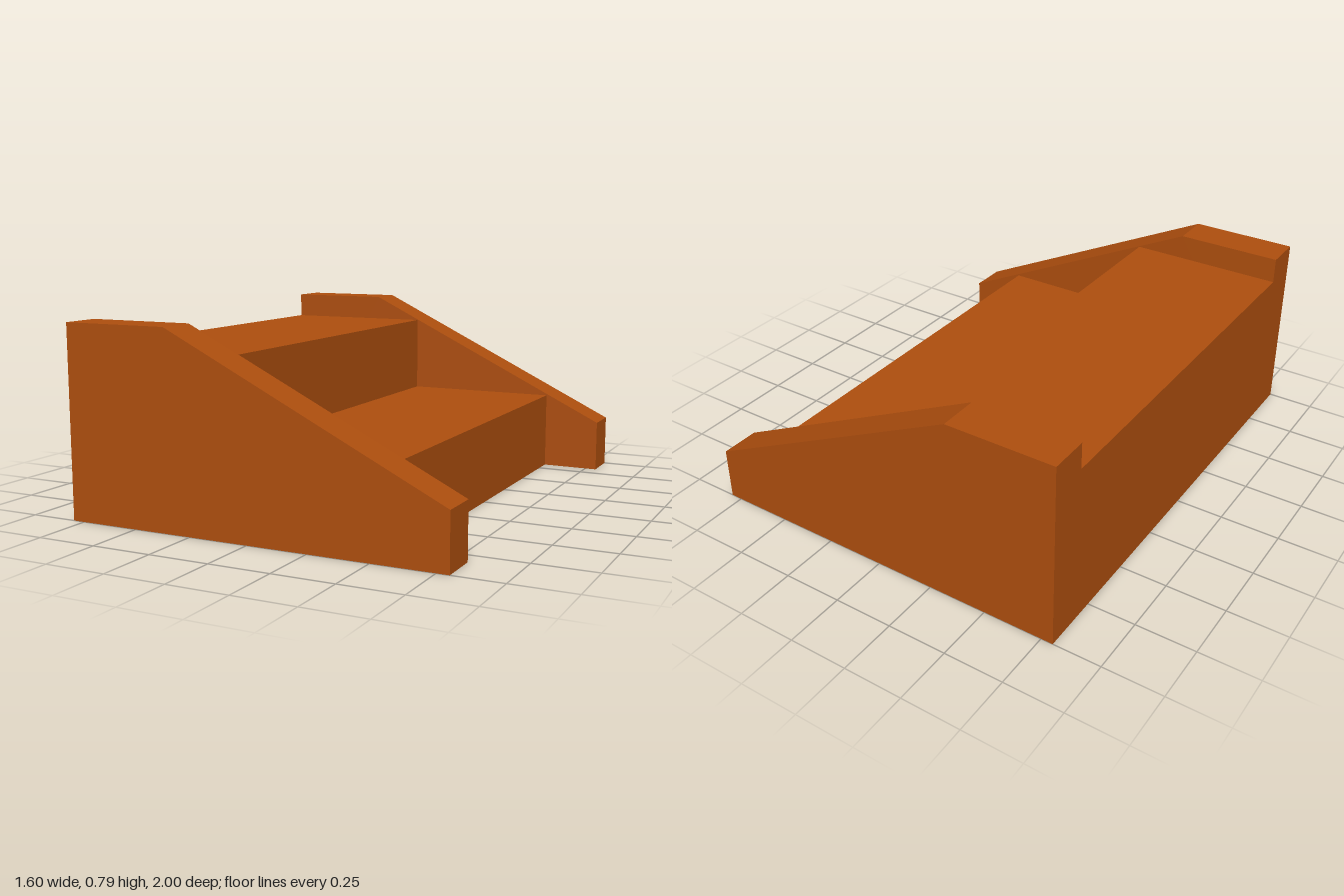
import * as THREE from 'three';

export function createModel() {
  const group = new THREE.Group();
  group.name = 'steps';
  const wood = new THREE.MeshStandardMaterial({ color: 0xad4e0e });
  wood.name = 'brown wood';

  const back = -0.8, inner = 0.835;

  // Two solid treads, stacked flush at the back
  const addStep = (name, front, bottom, top) => {
    const geometry = new THREE.BoxGeometry(front - back, top - bottom, inner * 2);
    const mesh = new THREE.Mesh(geometry, wood);
    mesh.position.set((front + back) / 2, (top + bottom) / 2, 0);
    mesh.name = name;
    group.add(mesh);
  };
  addStep('lowerStep', 0.55, 0, 0.34);
  addStep('upperStep', -0.13, 0.34, 0.677);

  // Sloping side walls
  const profile = new THREE.Shape([
    [back, 0], [0.8, 0], [0.8, 0.225], [-0.347, 0.786], [back, 0.786],
  ].map(([x, y]) => new THREE.Vector2(x, y)));
  const wall = new THREE.ExtrudeGeometry(profile, { depth: 1 - inner, bevelEnabled: false });
  for (const [name, z] of [['frontSideWall', inner], ['rearSideWall', -1]]) {
    const mesh = new THREE.Mesh(wall, wood);
    mesh.position.z = z;
    mesh.name = name;
    group.add(mesh);
  }
  return group;
}
